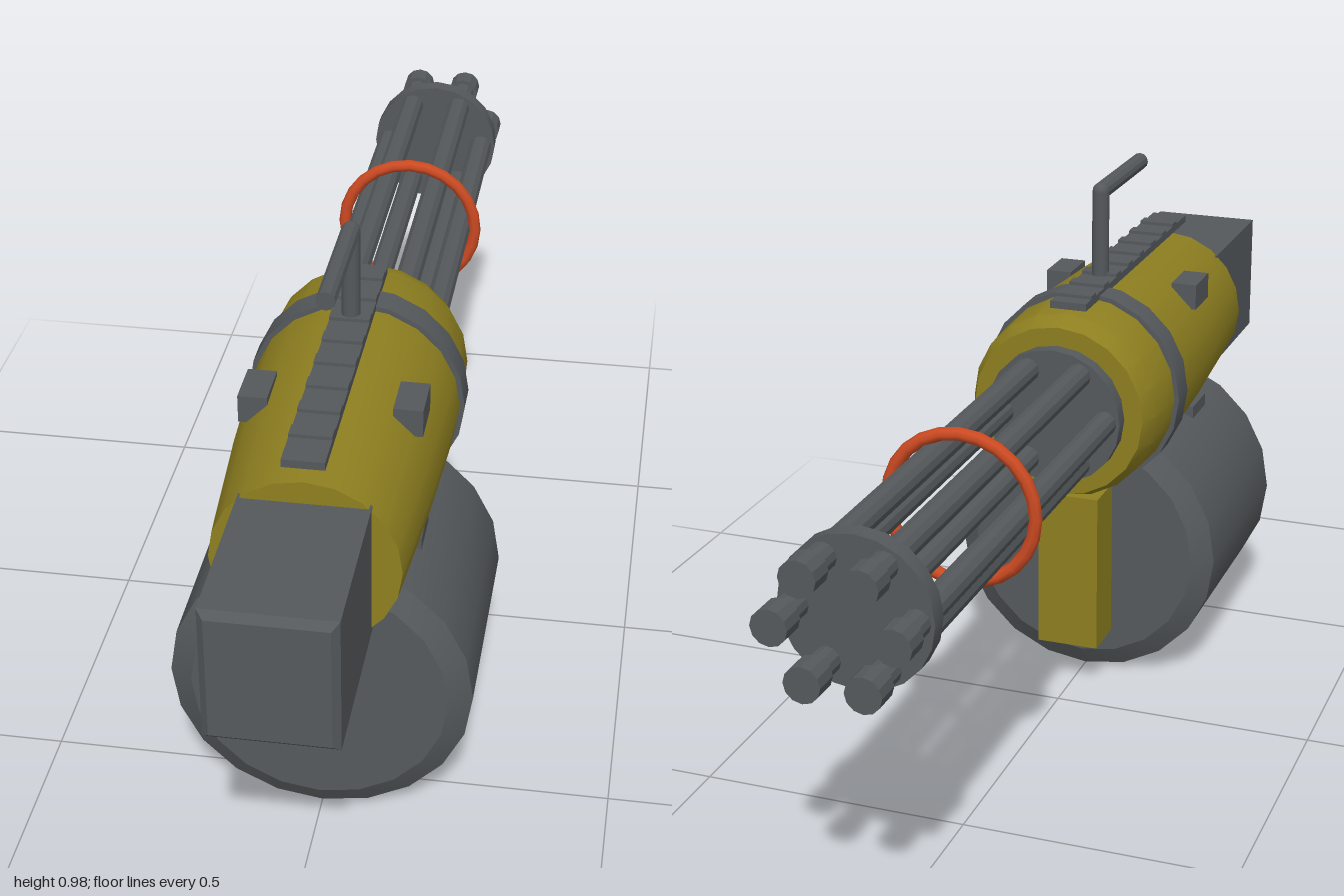
import * as THREE from 'three';
import { toCreasedNormals } from 'three/addons/utils/BufferGeometryUtils.js';

const AXIS_Y = 0.603;

export function createModel() {
  const model = new THREE.Group();
  model.name = 'rotaryCannon';

  const colour = (name, hex) => {
    const m = new THREE.MeshStandardMaterial({ color: hex });
    m.name = name;
    return m;
  };
  const steel = colour('darkSteel', 0x55595c);
  const olive = colour('oliveYellow', 0x8e7f20);
  const orange = colour('orange', 0xcc4a22);

  const add = (name, geometry, material, x = 0, y = 0, z = 0, parent = model) => {
    const mesh = new THREE.Mesh(geometry, material);
    mesh.name = name;
    mesh.position.set(x, y, z);
    parent.add(mesh);
    return mesh;
  };
  const group = (name) => {
    const g = new THREE.Group();
    g.name = name;
    model.add(g);
    return g;
  };

  // Solid of revolution along z; profile is [radius, z] with z increasing
  const turned = (profile, sides = 20) => {
    const first = profile[0], last = profile[profile.length - 1];
    const points = [[0, first[1]], ...profile, [0, last[1]]].map(([r, z]) => new THREE.Vector2(r, z));
    const g = new THREE.LatheGeometry(points, sides).rotateX(Math.PI / 2);
    return toCreasedNormals(g, 0.42);
  };
  const rod = (radius, z0, z1, sides) => turned([[radius, z0], [radius, z1]], sides);
  const box = (x, y, z) => new THREE.BoxGeometry(x, y, z);

  // Housing: tapered shell with a strap round it
  add('housing', turned([
    [0.165, -0.002], [0.18, 0.035], [0.186, 0.15], [0.184, 0.25], [0.175, 0.45], [0.157, 0.7],
  ]), olive, 0, AXIS_Y);
  add('housingStrap', rod(0.194, 0.135, 0.192, 20), steel, 0, AXIS_Y);

  // Rear motor block with a bevelled end
  const w = 0.095, h = 0.108, bevel = 0.012;
  const section = new THREE.Shape([[-w, -h], [w, -h], [w, h], [-w, h]].map(p => new THREE.Vector2(...p)));
  const block = new THREE.ExtrudeGeometry(section, {
    depth: 0.3, bevelEnabled: true, bevelSize: bevel, bevelThickness: bevel, bevelSegments: 1,
  });
  add('rearBlock', block, steel, 0, 0.6, 0.7 - bevel);

  // Ammunition drum and the feed box on its far face
  add('ammoDrum', turned([[0.222, 0.145], [0.262, 0.168], [0.262, 0.578], [0.222, 0.601]]), steel, 0, 0.265);
  add('feedBox', box(0.12, 0.315, 0.11), olive, 0, 0.253, 0.11);

  // Mounting lugs, four round the housing
  const lugs = group('housingLugs');
  for (const sx of [-1, 1]) {
    for (const sy of [-1, 1]) {
      add('lug', box(0.05, 0.05, 0.088), steel, sx * 0.13, AXIS_Y + sy * 0.127, 0.415, lugs);
    }
  }

  // Top rail with cross teeth
  const rail = group('topRail');
  add('railBase', box(0.07, 0.014, 0.645), steel, 0, 0.792, 0.3775, rail);
  for (let i = 0; i < 8; i++) {
    add('railTooth', box(0.07, 0.008, 0.028), steel, 0, 0.801, 0.1 + i * 0.0745, rail);
  }

  // Carrying handle: post, rounded corner and grip
  const handle = group('carryHandle');
  const r = 0.0165, gripY = 0.963, postZ = 0.243;
  add('handlePost', new THREE.CylinderGeometry(r, r, gripY - 0.79, 12), steel, 0, (gripY + 0.79) / 2, postZ, handle);
  add('handleCorner', new THREE.SphereGeometry(r, 12, 8), steel, 0, gripY, postZ, handle);
  add('handleGrip', rod(r, postZ, 0.488, 12), steel, 0, gripY, 0, handle);

  // Barrel cluster: two plates, six barrels with muzzles, and a clamp ring
  const cluster = group('barrelCluster');
  add('hubPlate', rod(0.13, -0.03, 0.005, 20), steel, 0, AXIS_Y, 0, cluster);
  add('muzzlePlate', rod(0.13, -0.91, -0.877, 20), steel, 0, AXIS_Y, 0, cluster);
  const barrel = rod(0.0235, -0.97, -0.01, 12);
  const muzzle = rod(0.031, -1, -0.955, 12);
  for (let i = 0; i < 6; i++) {
    const a = (i * Math.PI) / 3;
    const x = 0.1 * Math.cos(a), y = AXIS_Y + 0.1 * Math.sin(a);
    add('barrel', barrel, steel, x, y, 0, cluster);
    add('muzzle', muzzle, steel, x, y, 0, cluster);
  }
  add('clampRing', new THREE.TorusGeometry(0.133, 0.012, 8, 24), orange, 0, AXIS_Y, -0.485, cluster);

  return model;
}
